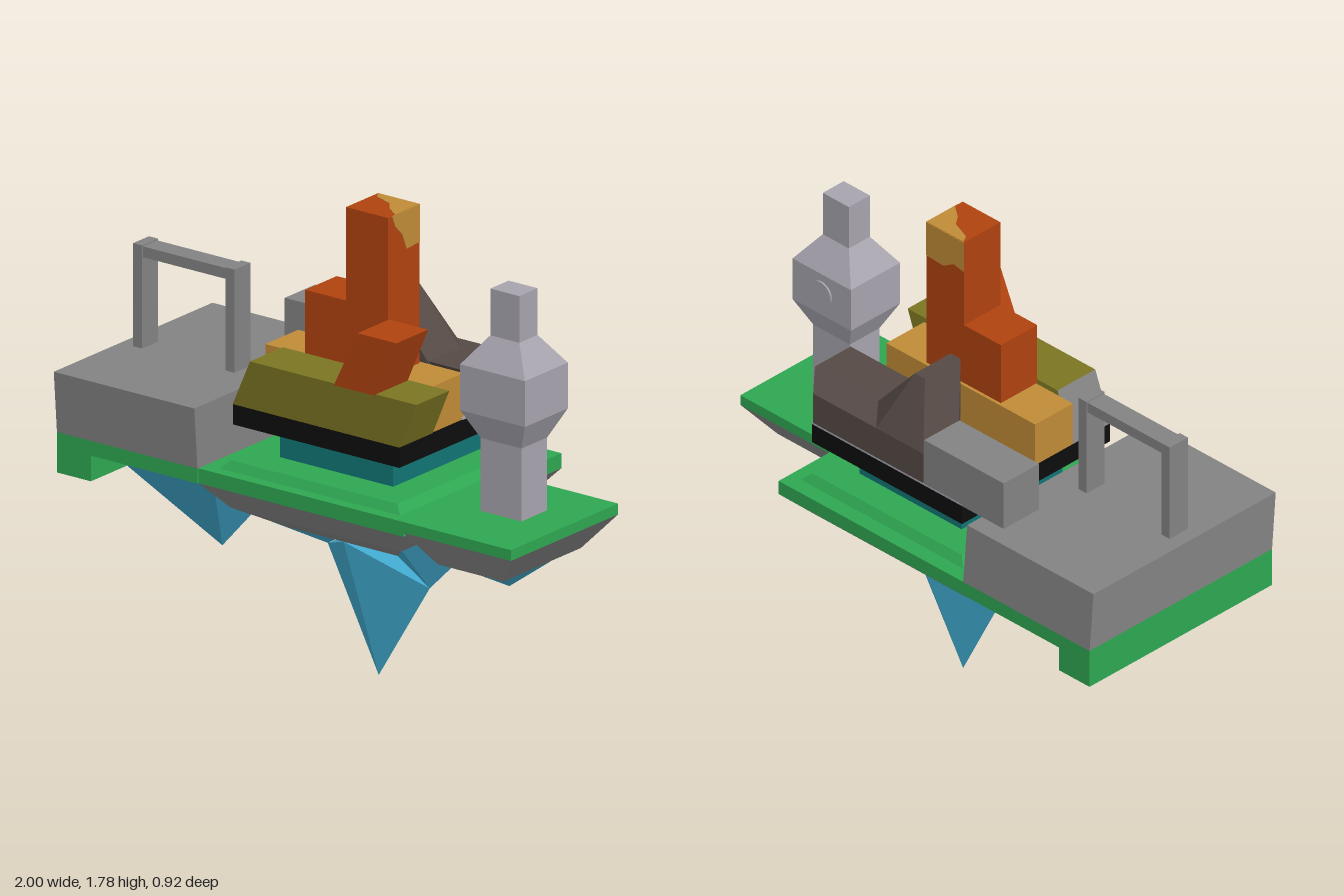
import * as THREE from 'three';
import { ConvexGeometry } from 'three/addons/geometries/ConvexGeometry.js';

const material = (name, color, extra = {}) => {
  const m = new THREE.MeshStandardMaterial({ color, ...extra });
  m.name = name;
  return m;
};

export function createModel() {
  const model = new THREE.Group();
  model.name = 'floatingIsland';

  const grass = material('grass', 0x2ea651);
  const stone = material('stone', 0x828282);
  const crystal = material('crystal', 0x3fa6ca);
  const teal = material('teal', 0x117474);
  const black = material('black', 0x0d0d0d);
  const ochre = material('ochre', 0xbf8a37);
  const rust = material('rust', 0xb0420f);
  const olive = material('olive', 0x7b7522);
  const brown = material('brown', 0x544945);
  const pale = material('pale', 0xa6a3ad);

  const add = (name, geometry, mat) => {
    const mesh = new THREE.Mesh(geometry, mat);
    mesh.name = name;
    model.add(mesh);
    return mesh;
  };

  // A block between two rectangles [x0, x1, z0, z1], at heights y0 and y1
  const block = (name, mat, y0, y1, low, high = low) => {
    const geometry = new THREE.BoxGeometry(1, 1, 1);
    const p = geometry.attributes.position;
    for (let i = 0; i < p.count; i++) {
      const up = p.getY(i) > 0;
      const r = up ? high : low;
      p.setXYZ(i, r[p.getX(i) > 0 ? 1 : 0], up ? y1 : y0, r[p.getZ(i) > 0 ? 3 : 2]);
    }
    geometry.computeVertexNormals();
    return add(name, geometry, mat);
  };

  // A flat-faced solid round a few corner points
  const hull = (name, mat, points) =>
    add(name, new ConvexGeometry(points.map((c) => new THREE.Vector3(...c))), mat);

  const spike = (name, x, z, tipY, baseY, base) =>
    block(name, crystal, tipY, baseY, [x - 0.001, x + 0.001, z - 0.001, z + 0.001], base);

  // Grass slabs
  block('mainGrass', grass, 0.735, 0.79, [-0.38, 0.525, -0.46, 0.44]);
  block('sideGrass', grass, 0.75, 0.79, [0.525, 1, -0.17, 0.44]);
  block('leftGrass', grass, 0.735, 0.79, [-1, -0.38, -0.46, 0.445]);
  block('leftGrassDrop', grass, 0.64, 0.735, [-1, -0.85, -0.46, 0.445]);
  block('grassMound', grass, 0.79, 0.82, [-0.32, 0.475, -0.4, 0.395], [-0.29, 0.445, -0.375, 0.37]);

  // Rock below the slabs
  const rockBottom = [-0.3, 0.45, -0.36, 0.36];
  block('mainRock', stone, 0.64, 0.735, rockBottom, [-0.38, 0.525, -0.46, 0.44]);
  block('sideRock', stone, 0.63, 0.75, [0.615, 0.905, -0.08, 0.36], [0.525, 1, -0.17, 0.44]);

  // Crystal underside, with its front face in rock
  block('crystalBase', [crystal, crystal, crystal, crystal, stone, crystal],
    0.55, 0.64, [-0.16, 0.315, -0.21, 0.2], rockBottom);
  hull('mainSpike', crystal, [
    [0.075, 0, 0], [-0.15, 0.44, 0], [0.3, 0.37, 0], [0.075, 0.55, 0.2], [0.075, 0.55, -0.21],
  ]);
  hull('rightShard', crystal, [
    [0.45, 0.64, 0.35], [0.45, 0.64, -0.35], [0.315, 0.55, 0.2], [0.315, 0.55, -0.21],
    [0.3, 0.37, 0], [0.1, 0.56, 0],
  ]);
  hull('leftShard', crystal, [
    [-0.3, 0.64, 0.35], [-0.3, 0.64, -0.35], [-0.3, 0.55, 0], [-0.15, 0.44, 0],
    [-0.16, 0.55, 0.2], [-0.16, 0.55, -0.21], [0.05, 0.56, 0],
  ]);
  spike('leftSpike', -0.615, 0, 0.33, 0.74, [-0.85, -0.38, -0.36, 0.36]);
  spike('sideSpike', 0.76, 0.14, 0.52, 0.635, [0.63, 0.89, -0.06, 0.34]);

  // Plinth and platform
  block('plinth', teal, 0.82, 0.905, [-0.175, 0.325, -0.26, 0.24]);
  block('plinthFlare', teal, 0.905, 0.95, [-0.175, 0.325, -0.26, 0.24], [-0.265, 0.415, -0.335, 0.32]);
  block('platform', black, 0.95, 1.025, [-0.29, 0.445, -0.375, 0.36]);
  block('platformFloor', pale, 1.025, 1.033, [-0.29, 0.445, -0.375, 0]);

  // Ochre hall and stepped rust tower
  block('hall', ochre, 1.025, 1.195, [-0.29, 0.44, -0.012, 0.175]);
  block('towerStep', rust, 1.195, 1.437, [-0.11, 0.07, 0, 0.18]);
  block('tower', rust, 1.195, 1.783, [0.07, 0.255, 0, 0.18]);

  // Ochre patches on the tower, as thin plates
  const plate = (name, points) => {
    const shape = new THREE.Shape(points.map((c) => new THREE.Vector2(...c)));
    return add(name, new THREE.ExtrudeGeometry(shape, { depth: 0.003, bevelEnabled: false }), ochre);
  };
  const sidePatch = plate('towerSidePatch', [
    [0, 1.645], [-0.075, 1.64], [-0.1, 1.7], [-0.14, 1.74], [-0.158, 1.783], [0, 1.783],
  ]);
  sidePatch.rotation.y = Math.PI / 2;
  sidePatch.position.x = 0.254;
  const backPatch = plate('towerBackPatch', [
    [0.07, 1.66], [0.12, 1.67], [0.17, 1.64], [0.255, 1.645], [0.255, 1.783], [0.07, 1.783],
  ]);
  backPatch.position.z = -0.002;
  const topPatch = plate('towerTopPatch', [
    [0.075, 0], [0.09, -0.03], [0.17, -0.06], [0.2, -0.1], [0.255, -0.14], [0.255, 0],
  ]);
  topPatch.rotation.x = -Math.PI / 2;
  topPatch.position.y = 1.782;

  // Leaning olive wing and rust chimney
  block('oliveWing', [olive, stone, olive, olive, olive, olive],
    1.025, 1.205, [-0.29, 0.445, 0.17, 0.36], [-0.205, 0.53, 0.185, 0.372]);
  block('leaningChimney', rust, 1.2, 1.42, [0.168, 0.348, 0.19, 0.375], [0.28, 0.452, 0.205, 0.385]);

  // Leaning brown wing with a peak at one end
  hull('brownWing', brown, [
    [-0.1, 1.028, -0.375], [0.44, 1.028, -0.375], [-0.1, 1.028, -0.19], [0.44, 1.028, -0.19],
    [-0.1, 1.155, -0.375], [0.44, 1.155, -0.375], [0, 1.17, -0.265], [0.54, 1.17, -0.265],
    [0, 1.17, -0.088], [0.54, 1.17, -0.088],
  ]);
  hull('brownPeak', brown, [
    [-0.1, 1.155, -0.375], [0.13, 1.155, -0.375], [0, 1.16, -0.088], [0.23, 1.16, -0.088],
    [0.23, 1.17, -0.265], [0, 1.29, -0.265], [0, 1.37, -0.265], [0.05, 1.37, -0.265],
    [0, 1.37, -0.088], [0.05, 1.37, -0.088], [-0.1, 1.155, -0.2],
  ]);

  // Stone annex and left block
  block('annex', stone, 1.025, 1.215, [-0.495, -0.105, -0.375, -0.2]);
  block('leftBlock', stone, 0.79, 1.018, [-1, -0.38, -0.46, 0.445], [-1, -0.38, -0.44, 0.463]);

  // Gateway on the left block
  for (const [name, x] of [['gatePostLeft', -0.515], ['gatePostRight', -0.923]]) {
    block(name, stone, 1.015, 1.4, [x - 0.02, x + 0.02, -0.005, 0.085]);
  }
  block('gateBeam', stone, 1.355, 1.395, [-0.935, -0.495, 0, 0.08]);

  // Pale silo, stacked from square sections [height, half width x, half depth z]
  const cx = 0.757, cz = 0.11;
  const sections = [
    [0.79, 0.09, 0.073], [1.06, 0.09, 0.073], [1.165, 0.143, 0.122],
    [1.335, 0.143, 0.122], [1.44, 0.064, 0.052], [1.613, 0.064, 0.052],
  ];
  const rect = ([, w, d]) => [cx - w, cx + w, cz - d, cz + d];
  for (let i = 0; i < sections.length - 1; i++) {
    const a = sections[i], b = sections[i + 1];
    block('siloSection' + (i + 1), pale, a[0], b[0], rect(a), rect(b));
  }
  const hatch = add('siloHatch', new THREE.CylinderGeometry(0.05, 0.05, 0.009, 24), pale);
  hatch.rotation.x = Math.PI / 2;
  hatch.position.set(cx, 1.255, -0.014);

  return model;
}
